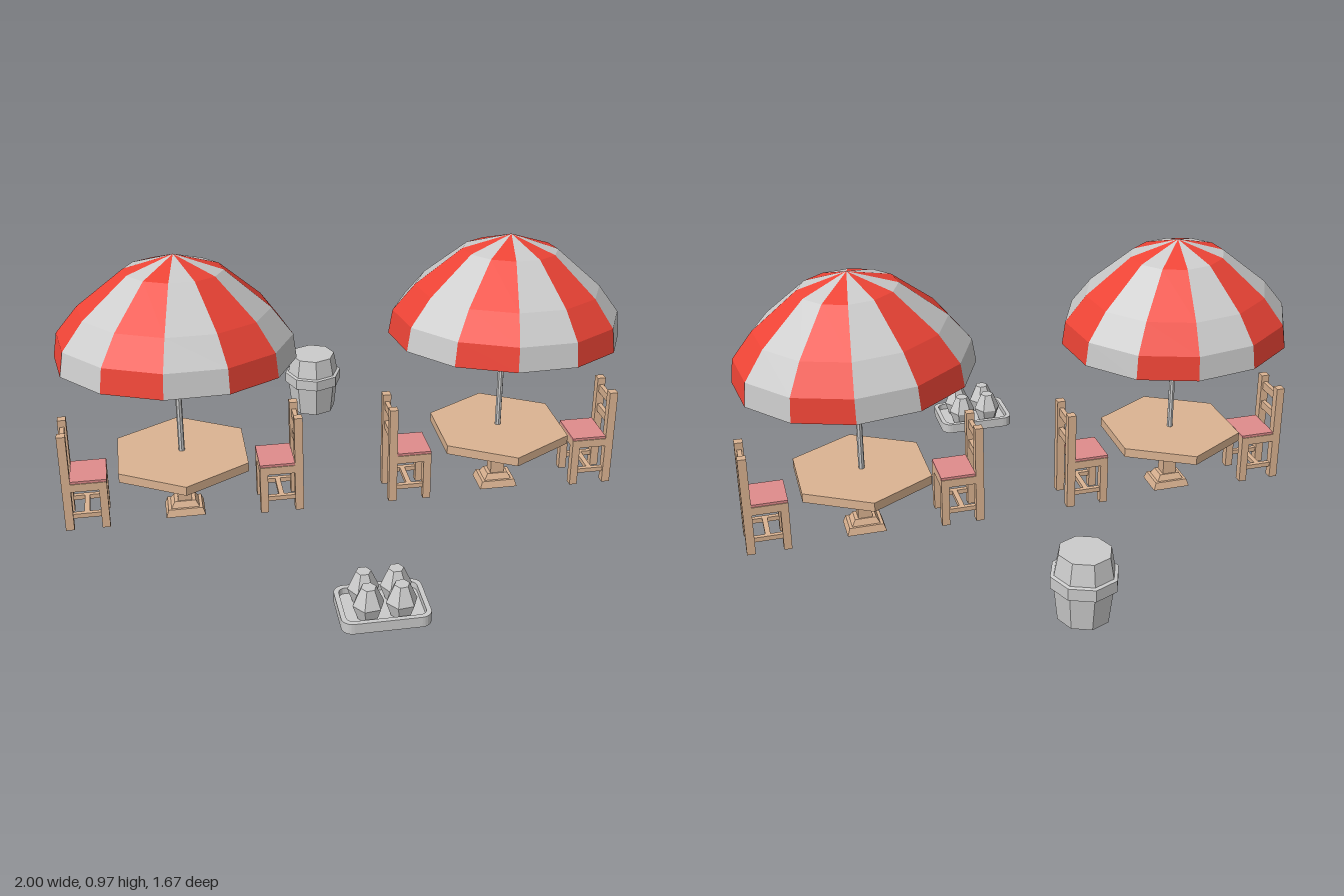
import * as THREE from 'three';
import { mergeGeometries } from 'three/addons/utils/BufferGeometryUtils.js';

const mat = (color) => new THREE.MeshStandardMaterial({ color, flatShading: true });
const GREY = mat(0xcccccc), WOOD = mat(0xdcb492), RED = mat(0xee4436);
const CUSHION = mat(0xe08c8c), LINING = mat(0x80a0b4);

function add(parent, name, geometry, material, x = 0, y = 0, z = 0) {
  const mesh = new THREE.Mesh(geometry, material);
  mesh.name = name;
  mesh.position.set(x, y, z);
  parent.add(mesh);
  return mesh;
}

// Box given by its size, with y as its underside
function box(parent, name, w, h, d, x, y, z, material = WOOD) {
  return add(parent, name, new THREE.BoxGeometry(w, h, d), material, x, y + h / 2, z);
}

// Faceted solid of revolution, profile listed from bottom to top
function lathe(profile, sides, start = 0, length = Math.PI * 2) {
  return new THREE.LatheGeometry(profile.map(([r, y]) => new THREE.Vector2(r, y)), sides, start, length);
}

// Four-sided tapered plinth
function plinth(parent, bottom, top, h, y) {
  const g = new THREE.CylinderGeometry(top * Math.SQRT1_2, bottom * Math.SQRT1_2, h, 4);
  g.rotateY(Math.PI / 4);
  g.scale(1, 1, 0.78);
  add(parent, 'tableFoot', g, WOOD, 0, y + h / 2, 0);
}

function makeTable() {
  const table = new THREE.Group();
  table.name = 'table';
  add(table, 'tableTop', new THREE.CylinderGeometry(0.258, 0.258, 0.033, 6), WOOD, 0, 0.2235, 0);
  box(table, 'tableColumn', 0.05, 0.17, 0.05, 0, 0.04, 0);
  plinth(table, 0.14, 0.122, 0.027, 0);
  plinth(table, 0.1, 0.075, 0.022, 0.027);
  return table;
}

// Chair with its back towards +x
function makeChair() {
  const chair = new THREE.Group();
  chair.name = 'chair';
  for (const z of [-0.063, 0.063]) {
    box(chair, 'backPost', 0.03, 0.37, 0.03, 0.407, 0, z);
    box(chair, 'frontLeg', 0.028, 0.16, 0.03, 0.281, 0, z);
    box(chair, 'sideStretcher', 0.11, 0.017, 0.016, 0.344, 0.043, z);
  }
  box(chair, 'crossStretcher', 0.018, 0.017, 0.11, 0.344, 0.043, 0);
  box(chair, 'seat', 0.126, 0.03, 0.156, 0.33, 0.153, 0);
  box(chair, 'cushion', 0.126, 0.009, 0.15, 0.33, 0.183, 0, CUSHION);
  for (const y of [0.235, 0.314]) box(chair, 'backSlat', 0.016, 0.03, 0.1, 0.407, y, 0);
  return chair;
}

function makeParasol() {
  const parasol = new THREE.Group();
  parasol.name = 'parasol';
  add(parasol, 'pole', new THREE.CylinderGeometry(0.011, 0.011, 0.71, 8), GREY, 0, 0.585, -0.004);

  // Twelve canopy panels in two alternating colours
  const canopy = new THREE.Group();
  canopy.name = 'canopy';
  const outer = [[1.0, 0], [0.97, 0.085], [0.79, 0.18], [0.405, 0.312], [0, 0.365]];
  const inner = [[0, 0.352], [0.395, 0.3], [0.77, 0.168], [0.945, 0.08], [1.0, 0]];
  const step = Math.PI / 6, first = THREE.MathUtils.degToRad(22);
  const panels = [[], []];
  for (let i = 0; i < 12; i++) panels[i % 2].push(lathe(outer, 1, first + i * step, step));
  const parts = [
    ['redPanels', mergeGeometries(panels[0]), RED],
    ['greyPanels', mergeGeometries(panels[1]), GREY],
    ['lining', lathe(inner, 12, first), LINING],
  ];
  for (const [name, geometry, material] of parts) {
    geometry.scale(0.412, 1, 0.367);
    add(canopy, name, geometry, material);
  }
  canopy.position.set(0, 0.607, 0.003);
  canopy.rotation.set(-0.045, 0, -0.032);
  parasol.add(canopy);
  return parasol;
}

function makeBarrel() {
  const barrel = new THREE.Group();
  barrel.name = 'barrel';
  const body = [[0, 0], [0.088, 0], [0.103, 0.13], [0.103, 0.16], [0.088, 0.24], [0, 0.24]];
  const hoop = [[0.1, 0.12], [0.114, 0.122], [0.114, 0.164], [0.1, 0.167]];
  add(barrel, 'barrelBody', lathe(body, 8), GREY);
  add(barrel, 'barrelHoop', lathe(hoop, 8), GREY);
  return barrel;
}

function roundedRect(path, w, d, r) {
  const x = w / 2, y = d / 2;
  path.absarc(x - r, y - r, r, 0, Math.PI / 2);
  path.absarc(-x + r, y - r, r, Math.PI / 2, Math.PI);
  path.absarc(-x + r, -y + r, r, Math.PI, Math.PI * 1.5);
  path.absarc(x - r, -y + r, r, Math.PI * 1.5, Math.PI * 2);
  path.closePath();
  return path;
}

function makeTray() {
  const tray = new THREE.Group();
  tray.name = 'tray';
  const slab = (shape, depth) =>
    new THREE.ExtrudeGeometry(shape, { depth, bevelEnabled: false, curveSegments: 3 }).rotateX(-Math.PI / 2);
  const rim = roundedRect(new THREE.Shape(), 0.288, 0.21, 0.036);
  rim.holes.push(roundedRect(new THREE.Path(), 0.256, 0.178, 0.024));
  add(tray, 'trayFloor', slab(roundedRect(new THREE.Shape(), 0.288, 0.21, 0.036), 0.015), GREY);
  add(tray, 'trayRim', slab(rim, 0.022), GREY, 0, 0.015, 0);

  // Four six-sided buns
  const bun = [[0, 0], [0.034, 0], [0.052, 0.052], [0.025, 0.113], [0, 0.113]];
  let turn = 0;
  for (const x of [-0.053, 0.053]) {
    for (const z of [-0.043, 0.045]) {
      add(tray, 'bun', lathe(bun, 6), GREY, x, 0.015, z).rotation.y = Math.PI / 6 + 0.12 * (turn++ % 2);
    }
  }
  return tray;
}

export function createModel() {
  const model = new THREE.Group();
  model.name = 'terrace';
  for (const x of [-0.578, 0.578]) {
    const set = new THREE.Group();
    set.name = 'diningSet';
    const right = makeChair();
    const left = makeChair();
    left.rotation.y = Math.PI;
    set.add(makeTable(), makeParasol(), right, left);
    set.position.x = x;
    model.add(set);
  }
  const barrel = makeBarrel();
  barrel.position.z = -0.725;
  const tray = makeTray();
  tray.position.z = 0.722;
  model.add(barrel, tray);
  return model;
}
